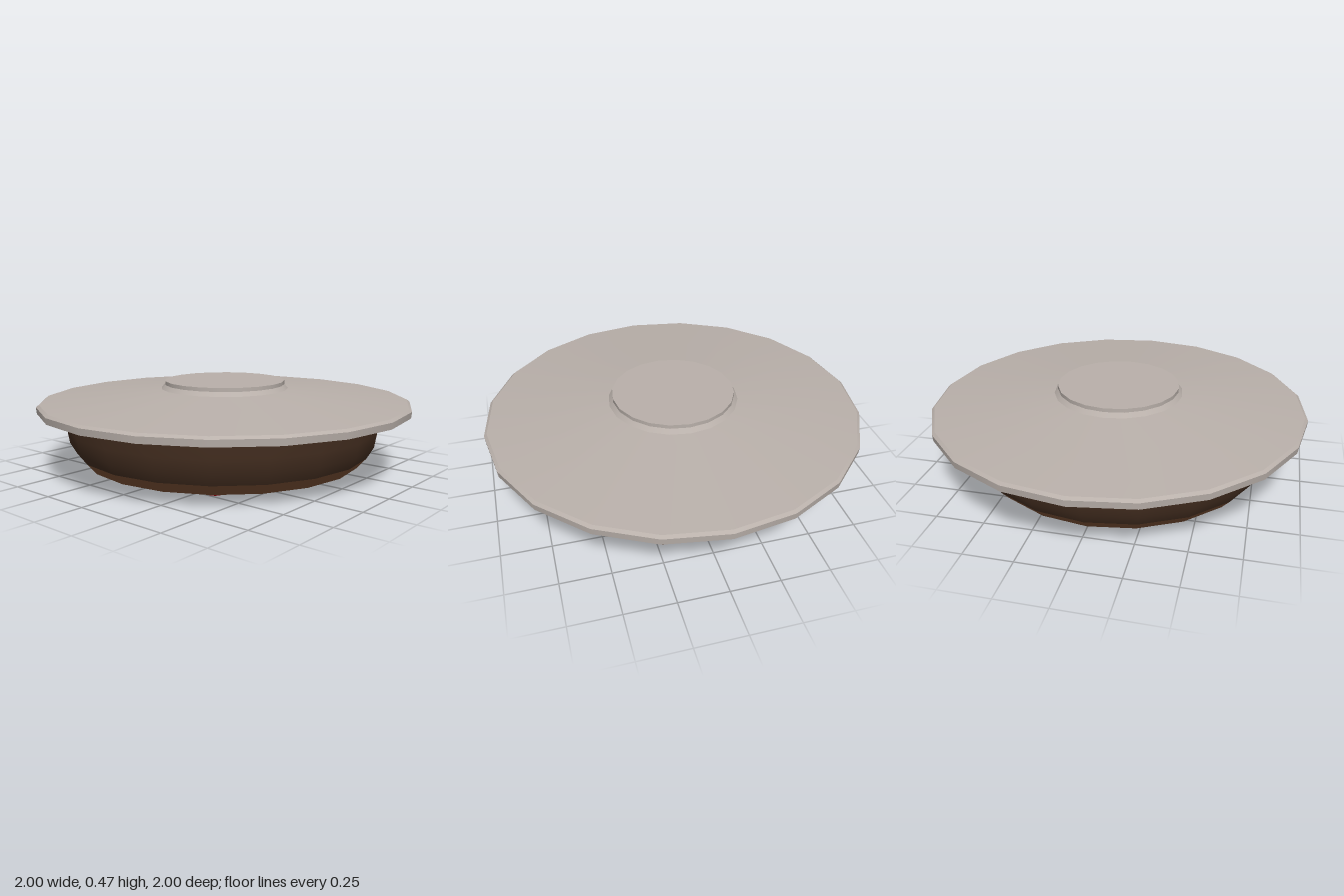
import * as THREE from 'three';
import { mergeGeometries } from 'three/addons/utils/BufferGeometryUtils.js';

const RAD = Math.PI / 180;
const SIDES = 20;
const CUT_A = 18, CUT_B = -54; // edges of the missing slice, degrees from +x towards +z

const mat = (color) => new THREE.MeshStandardMaterial({ color, side: THREE.DoubleSide, roughness: 0.8 });
const plateMat = mat(0xb9b0aa), chocolate = mat(0x442e20), sponge = mat(0x7d5236);
const custard = mat(0xc8b470), cream = mat(0xe6e6e6), cherryMat = mat(0xcc0808);

const add = (parent, name, geometry, material) => {
  const mesh = new THREE.Mesh(geometry, material);
  mesh.name = name;
  parent.add(mesh);
  return mesh;
};

// Lathe whose bands (lists of [radius, y]) are smooth around but creased between each other
const bandedLathe = (bands, sides, start = 0, sweep = 360) => mergeGeometries(bands.map((band) =>
  new THREE.LatheGeometry(band.map(([r, y]) => new THREE.Vector2(r, y)), sides, start * RAD, sweep * RAD)));

export function createModel() {
  const model = new THREE.Group();
  model.name = 'upturnedCake';

  // Plate, upside down with its foot ring on top
  const outline = [[0, 0.33], [0.997, 0.33], [1, 0.363], [0.985, 0.375], [0.345, 0.433],
    [0.325, 0.455], [0.325, 0.475], [0, 0.475]];
  add(model, 'plate', bandedLathe(outline.slice(1).map((p, i) => [outline[i], p]), SIDES), plateMat);

  const cake = new THREE.Group();
  cake.name = 'cake';
  cake.position.set(-0.018, 0, 0.005);
  model.add(cake);

  // Outer skin, running around everything but the missing slice
  const floor = [[0, 0.034], [0.3, 0.03], [0.55, 0.039], [0.742, 0.055]];
  const bevel = [[0.742, 0.055], [0.79, 0.11]];
  const wall = [[0.79, 0.11], [0.825, 0.17], [0.837, 0.24], [0.842, 0.33]];
  const start = 90 - CUT_B, sweep = 360 - (CUT_A - CUT_B), steps = SIDES * sweep / 360;
  add(cake, 'lowerCrust', bandedLathe([floor, bevel], steps, start, sweep), sponge);
  add(cake, 'icingWall', bandedLathe([wall], steps, start, sweep), chocolate);

  // Layers showing on the two cut faces
  const layers = [
    ['spongeLayer', sponge, [...floor, [0.79, 0.11], [0, 0.105]]],
    ['creamLayer', cream, [[0, 0.105], [0.79, 0.11], [0.818, 0.157], [0, 0.155]]],
    ['custardLayer', custard, [[0, 0.155], [0.818, 0.157], [0.837, 0.25], [0, 0.25]]],
    ['chocolateLayer', chocolate, [[0, 0.25], [0.837, 0.25], [0.842, 0.33], [0, 0.33]]],
  ];
  for (const angle of [CUT_A, CUT_B]) {
    for (const [name, material, corners] of layers) {
      const shape = new THREE.Shape(corners.map(([r, y]) => new THREE.Vector2(r, y)));
      add(cake, name, new THREE.ShapeGeometry(shape), material).rotation.y = -angle * RAD;
    }
  }

  // Cherries, every 36 degrees outside the missing slice
  const cherryGeo = new THREE.SphereGeometry(1, 16, 10);
  for (let a = 36; a <= 288; a += 36) {
    const cherry = add(cake, 'cherry', cherryGeo, cherryMat);
    cherry.scale.set(0.075, 0.036, 0.075);
    cherry.position.set(0.555 * Math.cos(a * RAD), 0.036, 0.555 * Math.sin(a * RAD));
  }
  return model;
}
